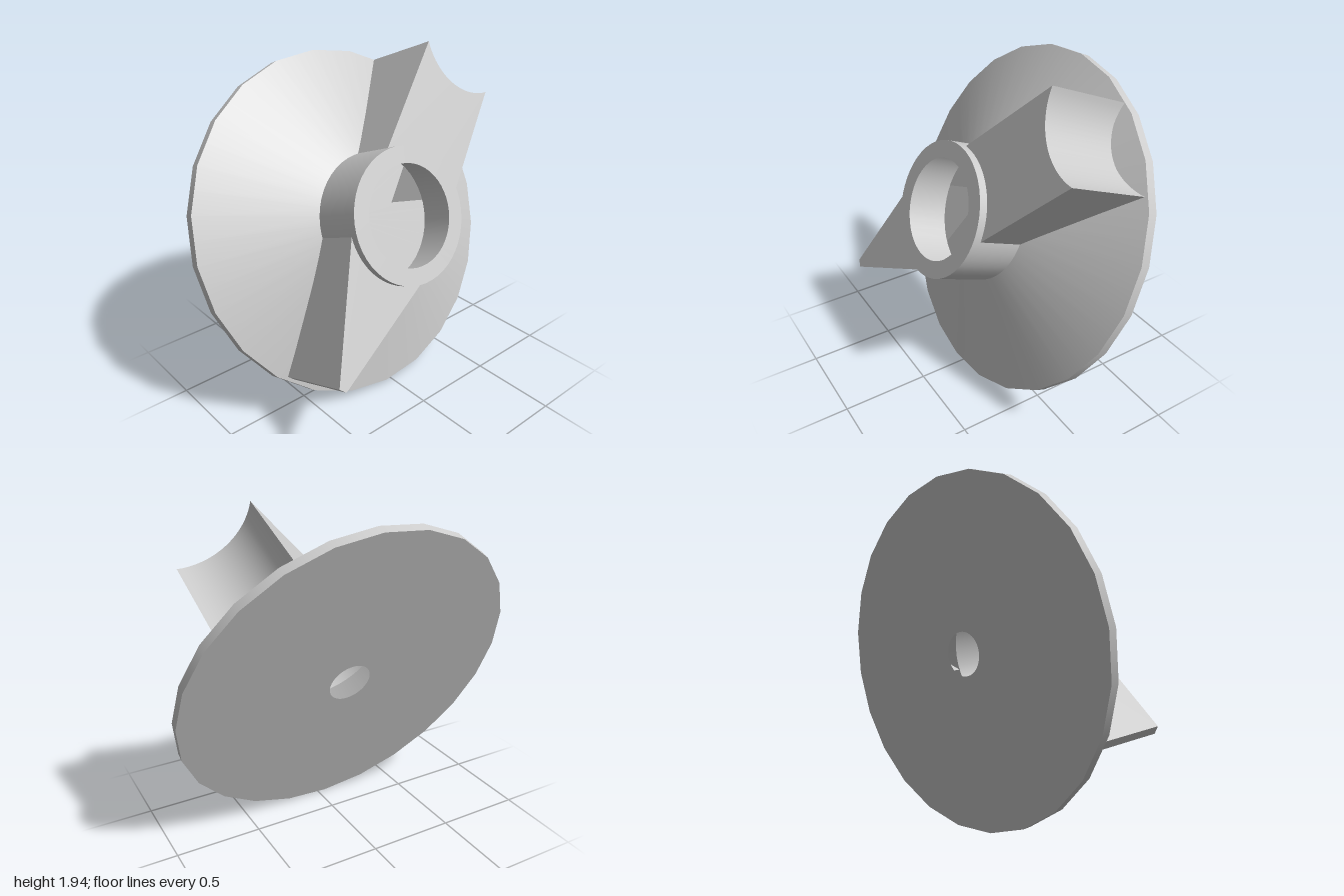
import * as THREE from 'three';

const DEG = Math.PI / 180;
const SEGMENTS = 48;
const HUB_R = 0.375, HUB_TOP = 0.595, BORE_R = 0.28, HOLE_R = 0.125;
const RIM_T = 0.055, CONE_TOP = 0.287, ARM_TOP = 0.55;

// One band of revolution about local z; every second rim point is pulled in
// so that the outline of the disc has 24 straight sides.
function band(r0, z0, r1, z1) {
  const geo = new THREE.LatheGeometry(
    [new THREE.Vector2(r0, z0), new THREE.Vector2(r1, z1)], SEGMENTS, -2.9 * DEG);
  geo.rotateX(Math.PI / 2);
  const p = geo.attributes.position;
  for (let i = 0; i < p.count; i++) {
    const odd = Math.floor(i / 2) % 2 === 1;
    if (odd && Math.hypot(p.getX(i), p.getY(i)) > 0.99) {
      const k = Math.cos(Math.PI / 24);
      p.setXY(i, p.getX(i) * k, p.getY(i) * k);
    }
  }
  return geo;
}

// Upright wall following a 2D path from the back plate to the arm top
function wall(path) {
  const pos = [], idx = [];
  path.forEach((q, i) => {
    pos.push(q.x, q.y, 0, q.x, q.y, ARM_TOP);
    if (i) {
      const a = 2 * i - 2;
      idx.push(a, a + 2, a + 3, a, a + 3, a + 1);
    }
  });
  const geo = new THREE.BufferGeometry();
  geo.setAttribute('position', new THREE.Float32BufferAttribute(pos, 3));
  geo.setIndex(idx);
  geo.computeVertexNormals();
  return geo;
}

// Quarter arc of the hub wall between two angles
function arc(cx, cy, r, from, to, n = 20) {
  return Array.from({ length: n + 1 }, (_, i) => {
    const a = (from + (to - from) * i / n) * DEG;
    return new THREE.Vector2(cx + r * Math.cos(a), cy + r * Math.sin(a));
  });
}

export function createModel() {
  const material = new THREE.MeshStandardMaterial({ color: 0xcccccc, side: THREE.DoubleSide });
  const model = new THREE.Group();
  model.name = 'tiltedKnob';
  const add = (parent, name, geo) => {
    const mesh = new THREE.Mesh(geo, material);
    mesh.name = name;
    parent.add(mesh);
  };

  const knob = new THREE.Group();
  knob.name = 'knob';
  knob.rotation.x = -22.5 * DEG;
  knob.position.set(0, 0.925, -0.2);
  model.add(knob);

  // Shallow hollow cone with a thin rim and a pierced back plate
  add(knob, 'backPlate', band(HOLE_R, 0, 1, 0));
  add(knob, 'rim', band(1, 0, 1, RIM_T));
  add(knob, 'coneFace', band(1, RIM_T, HUB_R, CONE_TOP));

  // Hollow hub with a ring-shaped lid
  add(knob, 'hubWall', band(HUB_R, CONE_TOP, HUB_R, HUB_TOP));
  add(knob, 'hubLid', band(HUB_R, HUB_TOP, BORE_R, HUB_TOP));

  // Arms: straight sides tangent to a hub quarter, closed by an end path
  function arm(name, hubFrom, hubTo, end) {
    const group = new THREE.Group();
    group.name = name;
    knob.add(group);
    const inner = arc(0, 0, HUB_R, hubFrom, hubTo);
    const start = inner[inner.length - 1];
    add(group, 'armTop', new THREE.ShapeGeometry(new THREE.Shape([...inner, ...end]))
      .translate(0, 0, ARM_TOP));
    add(group, 'armSide', wall([start, end[0]]));
    add(group, 'armEnd', wall(end));
    add(group, 'armSide', wall([end[end.length - 1], inner[0]]));
  }

  // Wide arm with a scooped end, pointing up and to the left
  arm('scoopedArm', 90, 0, arc(0.83, 0.871, 0.355, 270, 180));
  // Narrow pointer arm on the opposite side
  arm('pointerArm', 270, 180, [new THREE.Vector2(-0.685, -0.693), new THREE.Vector2(-0.65, -0.725)]);

  return model;
}
